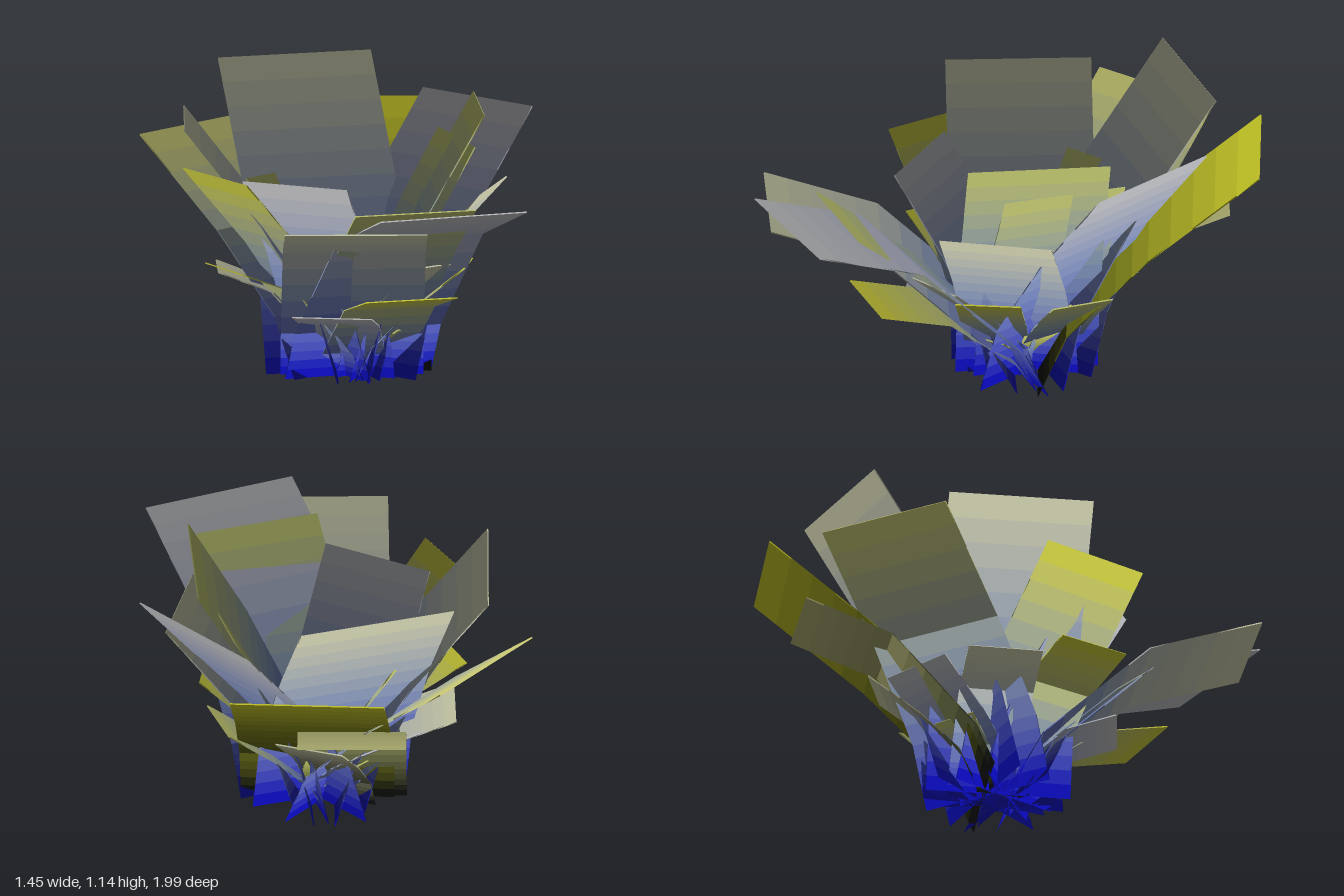
import * as THREE from 'three';

const CX = -0.03, CZ = -0.05;   // heart of the rosette
const BLUE = 0x0808ac, BLACK = 0x060806;   // root colours
const YELLOW = 0xbcbc24, PALE = 0xc4c468, OLIVE = 0xb0b45c, TAN = 0xbebe9c, GREY = 0xb0b0b0;

// Leaves: tip corner x, z, second corner x, z, tip height, tip colour, root colour
const leaves = [
  [-0.35, -0.73, 0.27, -0.725, 1.14, TAN, BLUE],
  [0.02, -1.0, 0.58, -0.79, 0.93, YELLOW, BLACK],
  [-0.71, -0.6, -0.24, -0.9, 0.88, PALE, BLUE],
  [-0.1, -0.9, 0.3, -0.77, 0.66, 0xa0a068, BLACK],
  [0.45, -0.62, 0.72, -0.08, 1.0, GREY, BLUE],
  [-0.56, -0.51, -0.73, 0.03, 1.0, TAN, BLUE],
  [0.52, -0.2, 0.39, 0.34, 1.05, OLIVE, BLUE],
  [-0.24, 0.99, 0.37, 0.94, 0.77, GREY, BLUE],
  [-0.58, 0.83, -0.05, 0.99, 0.71, TAN, BLUE],
  [-0.68, -0.14, -0.57, 0.32, 0.82, YELLOW, BLUE],
  [0.57, 0.06, 0.34, 0.44, 0.755, TAN, BLUE],
  [-0.52, 0.11, -0.2, 0.43, 0.8, GREY, BLUE],
  [0.41, -0.3, 0.4, 0.19, 0.9, OLIVE, BLUE],
  [-0.26, 0.73, 0.23, 0.73, 0.75, OLIVE, BLUE],
  [-0.36, -0.34, -0.2, -0.44, 0.73, OLIVE, BLUE],
  [-0.18, 0.62, 0.19, 0.62, 0.39, YELLOW, BLUE],
  [-0.38, 0.3, -0.1, 0.44, 0.29, GREY, BLUE],
  [-0.62, -0.05, -0.57, 0.25, 0.46, YELLOW, BLUE],
  [-0.55, -0.1, -0.47, -0.38, 0.41, TAN, BLUE],
  [0.3, 0.36, 0.41, 0.13, 0.455, YELLOW, BLUE],
  [0.27, -0.4, 0.05, -0.56, 0.46, TAN, BLACK],
  [-0.34, -0.42, -0.04, -0.52, 0.42, GREY, BLUE],
  [0.06, 0.45, 0.28, 0.35, 0.48, TAN, BLUE],
  [0.42, 0.0, 0.41, -0.25, 0.43, OLIVE, BLUE],
];

// Piecewise straight leaf curve: upright at the root, bending outwards
function profile(t, steep) {
  const pts = steep ? [[0, 0], [0.13, 0.27], [0.5, 0.62], [1, 1]]
    : [[0, 0], [0.1, 0.25], [0.54, 0.8], [1, 1]];
  const i = Math.min(2, Math.floor(t * 3)), f = t * 3 - i;
  return [0, 1].map(k => pts[i][k] + (pts[i + 1][k] - pts[i][k]) * f);
}

// Root colour, bluish (or dark green) middle, tip colour
function bandColor(h, tipColor, rootColor) {
  const tip = new THREE.Color(tipColor), root = new THREE.Color(rootColor);
  const tint = new THREE.Color(rootColor === BLUE ? 0x4468b0 : 0x142c06);
  const mid = tip.clone().lerp(tint, 0.7);
  return h < 0.5 ? root.lerp(mid, Math.max(0, h - 0.06) / 0.44) : mid.lerp(tip, h * 2 - 1);
}

// A thin strip of constant width from the root line out to the tip edge, in colour bands.
// Its outer and inner sheets share soft foliage normals that point outwards and up.
function makeLeaf([x1, z1, x2, z2, height, tipColor, rootColor], name) {
  const leaf = new THREE.Group();
  leaf.name = name;
  const len = Math.hypot(x2 - x1, z2 - z1);
  let nx = (z1 - z2) / len, nz = (x2 - x1) / len;
  let reach = ((x1 + x2) / 2 - CX) * nx + ((z1 + z2) / 2 - CZ) * nz;
  if (reach < 0) {   // order the corners so that the outer sheet faces outwards
    [x1, z1, x2, z2] = [x2, z2, x1, z1];
    nx = -nx; nz = -nz; reach = -reach;
  }
  reach -= 0.05;
  const bands = 15, steep = height / reach > 0.9, tall = height > 0.85 && height / reach > 1.4;
  const normal = new THREE.Vector3(nx * 0.8, tall ? 0.5 : 0.85, nz * 0.8).normalize().toArray();
  const row = (k, gap) => {
    const [r, h] = profile(k / bands, steep);
    const back = reach * (1 - r) - gap, y = h * height + gap * (k / bands) * -1;
    return [[x1 - nx * back, y, z1 - nz * back], [x2 - nx * back, y, z2 - nz * back]];
  };
  for (let k = 0; k < bands; k++) {
    const corners = [0.002, -0.002].flatMap(gap => {
      const [a, b] = row(k, gap), [c, d] = row(k + 1, gap);
      return [a, b, d, c];
    });
    const geo = new THREE.BufferGeometry();
    geo.setAttribute('position', new THREE.Float32BufferAttribute(corners.flat(), 3));
    geo.setAttribute('normal', new THREE.Float32BufferAttribute(corners.flatMap(() => normal), 3));
    geo.setIndex([0, 1, 2, 0, 2, 3, 4, 6, 5, 4, 7, 6]);
    // Close the side edges and the tip
    geo.setIndex([...geo.index.array, 0, 3, 7, 0, 7, 4, 1, 5, 6, 1, 6, 2, 3, 2, 6, 3, 6, 7]);
    const h = (corners[0][1] + corners[3][1]) / 2 / height;
    const mesh = new THREE.Mesh(geo, new THREE.MeshStandardMaterial({ color: bandColor(h, tipColor, rootColor) }));
    mesh.name = 'leafBand';
    leaf.add(mesh);
  }
  return leaf;
}

export function createModel() {
  const plant = new THREE.Group();
  plant.name = 'leafyPlant';
  leaves.forEach(spec => plant.add(makeLeaf(spec, 'leaf')));

  // Short shoots around the foot
  for (let i = 0; i < 8; i++) {
    const a = i * 2.4, r = 0.18 + 0.03 * (i % 4), w = 0.07 + 0.02 * (i % 3);
    const x = CX + Math.cos(a) * r, z = CZ + Math.sin(a) * r;
    const sx = -Math.sin(a) * w, sz = Math.cos(a) * w;
    const root = i % 2 ? BLUE : BLACK;
    plant.add(makeLeaf([x - sx, z - sz, x + sx, z + sz, 0.2 + 0.05 * (i % 3), OLIVE, root], 'shoot'));
  }
  return plant;
}
